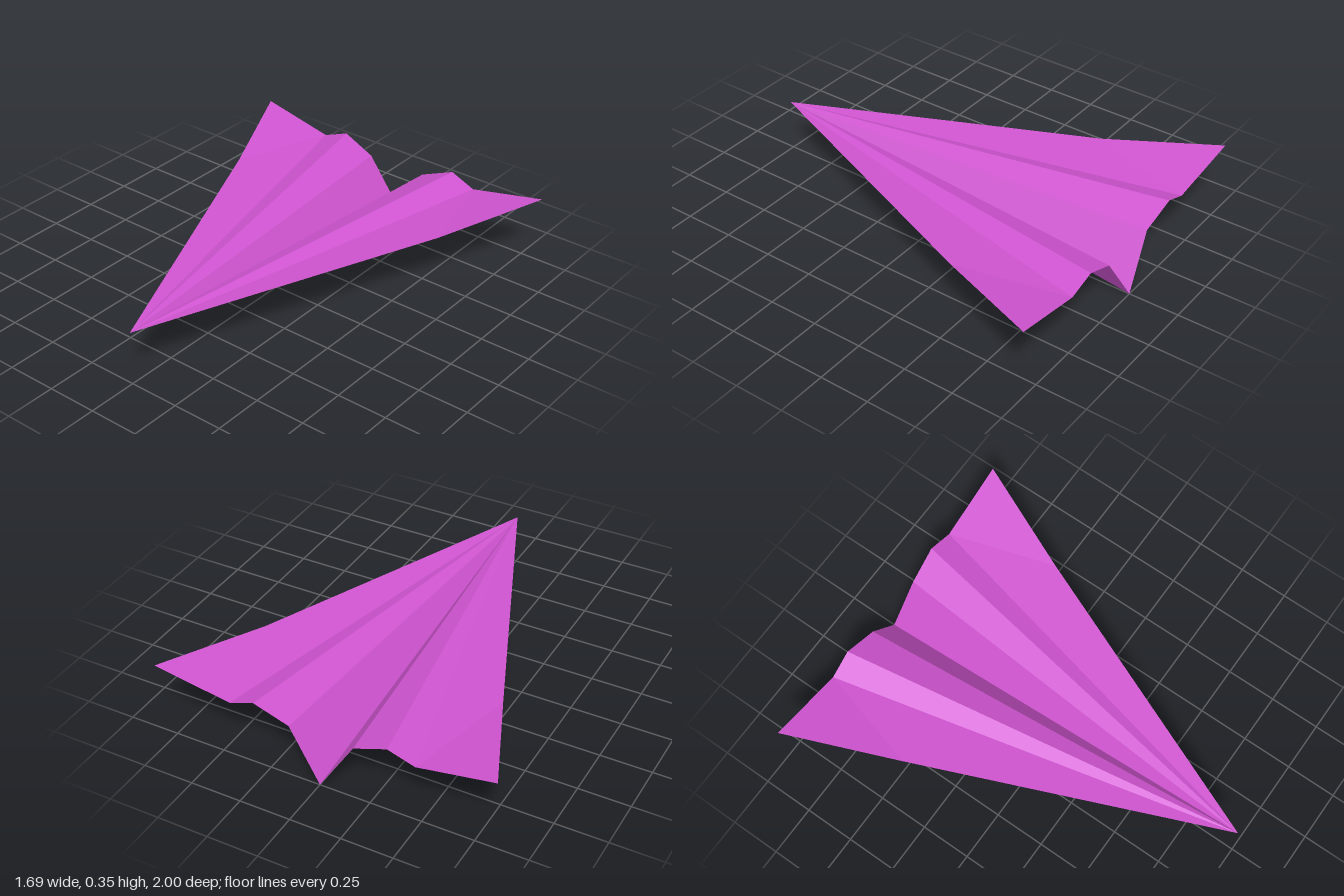
import * as THREE from 'three';

export function createModel() {
  const plane = new THREE.Group();
  plane.name = 'paperPlane';

  const paper = new THREE.MeshStandardMaterial({
    name: 'orchid paper', color: 0xcf54d0, side: THREE.DoubleSide, flatShading: true,
  });

  // Fold points of the left half; the right half mirrors them in x
  const nose = [0, 0.27, 1];
  const keel = [0, 0, -1];
  const root = [0.16, 0.25, -0.976];
  const ridge = [0.33, 0.32, -0.986];
  const valley = [0.46, 0.27, -0.98];
  const edge = [0.61, 0.296, -0.45];
  const tip = [0.843, 0.346, -0.99];

  // Flat paper panels, wound to face upwards
  const panels = {
    KeelSide: [nose, root, keel],
    InnerWing: [nose, ridge, root],
    MiddleWing: [nose, valley, ridge],
    OuterWing: [nose, edge, valley],
    WingTip: [edge, tip, valley],
  };

  for (const [side, s] of [['left', 1], ['right', -1]]) {
    for (const [part, corners] of Object.entries(panels)) {
      const order = s > 0 ? corners : [...corners].reverse();
      const geometry = new THREE.BufferGeometry().setFromPoints(
        order.map(([x, y, z]) => new THREE.Vector3(x * s, y, z)));
      geometry.computeVertexNormals();
      const mesh = new THREE.Mesh(geometry, paper);
      mesh.name = side + part;
      plane.add(mesh);
    }
  }
  return plane;
}
